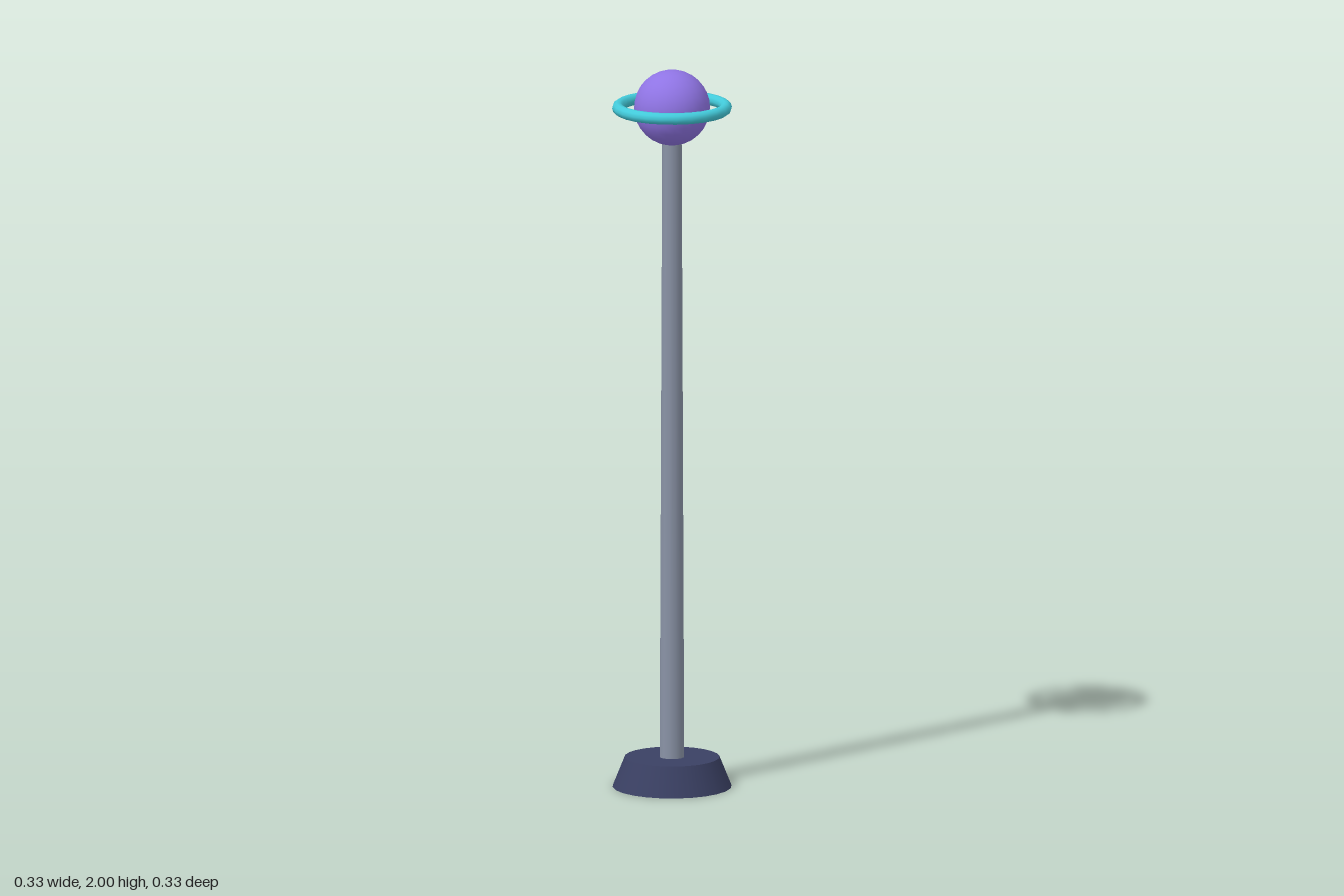
import * as THREE from 'three';

export function createModel() {
  const group = new THREE.Group();
  const material = (name, color) => {
    const m = new THREE.MeshStandardMaterial({ color });
    m.name = name;
    return m;
  };
  const add = (name, geometry, mat, y) => {
    const mesh = new THREE.Mesh(geometry, mat);
    mesh.name = name;
    mesh.position.y = y;
    group.add(mesh);
    return mesh;
  };

  const navy = material('navy', 0x3a4063);
  const steel = material('steel grey', 0x8a93a6);
  const purple = material('purple', 0x8f74e4);
  const teal = material('teal', 0x43cbdb);

  // Tapered foot
  add('base', new THREE.CylinderGeometry(0.13, 0.163, 0.082, 24), navy, 0.041);

  // Slender pole, its top tucked into the globe
  add('pole', new THREE.CylinderGeometry(0.027, 0.034, 1.74, 12), steel, 0.95);

  // Globe with a level ring floating around it
  const headY = 1.896;
  add('globe', new THREE.SphereGeometry(0.104, 24, 16), purple, headY);
  const ring = add('ring', new THREE.TorusGeometry(0.148, 0.016, 10, 24), teal, headY);
  ring.rotation.x = Math.PI / 2;

  return group;
}
